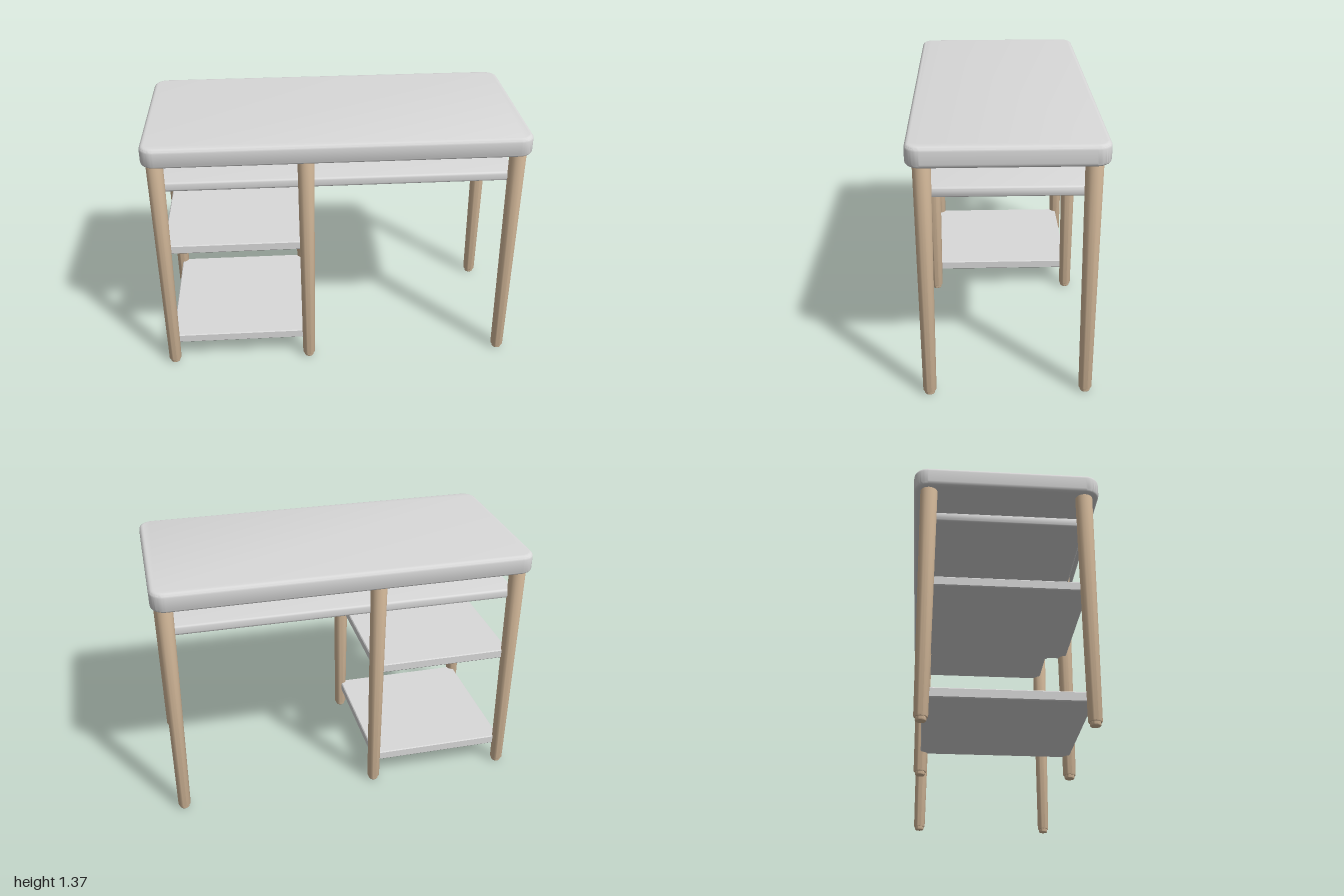
import * as THREE from 'three';
import { toCreasedNormals } from 'three/addons/utils/BufferGeometryUtils.js';

const panel = new THREE.MeshStandardMaterial({ color: 0xd9d9d9 });
panel.name = 'pale grey panel';
const wood = new THREE.MeshStandardMaterial({ color: 0xdcc0a0 });
wood.name = 'light wood';

// Horizontal board with rounded plan corners and bevelled edges
function board(name, x0, x1, depth, y0, y1, corner, bevel, segments, crease) {
  const w = (x1 - x0) / 2 - bevel, d = depth / 2 - bevel, r = corner - bevel;
  const s = new THREE.Shape();
  if (r > 0) {
    s.absarc(w - r, d - r, r, 0, Math.PI / 2);
    s.absarc(-w + r, d - r, r, Math.PI / 2, Math.PI);
    s.absarc(-w + r, -d + r, r, Math.PI, Math.PI * 1.5);
    s.absarc(w - r, -d + r, r, Math.PI * 1.5, Math.PI * 2);
  } else {
    s.moveTo(w, -d).lineTo(w, d).lineTo(-w, d).lineTo(-w, -d);
  }
  s.closePath();
  const g = new THREE.ExtrudeGeometry(s, {
    depth: y1 - y0 - 2 * bevel, bevelEnabled: true, bevelSize: bevel,
    bevelThickness: bevel, bevelSegments: segments, curveSegments: 8,
  });
  g.rotateX(-Math.PI / 2);
  const mesh = new THREE.Mesh(toCreasedNormals(g, crease), panel);
  mesh.position.set((x0 + x1) / 2, y0 + bevel, 0);
  mesh.name = name;
  return mesh;
}

export function createModel() {
  const desk = new THREE.Group();
  desk.name = 'desk';
  const legX = [-0.933, -0.166, 0.933], legZ = 0.4;

  // Thick worktop, tray below it, and two shelves between the left-hand legs
  desk.add(
    board('worktop', -1, 1, 0.956, 1.262, 1.368, 0.075, 0.022, 4, 0.7),
    board('underTray', legX[0], legX[2], 2 * legZ, 1.092, 1.143, 0.02, 0.014, 4, 0.7),
    board('upperShelf', legX[0], legX[1], 2 * legZ, 0.715, 0.765, 0, 0.005, 1, 0.5),
    board('lowerShelf', legX[0], legX[1], 2 * legZ, 0.121, 0.172, 0, 0.005, 1, 0.5),
  );

  // Tapered leg with a small stepped foot, turned as one profile
  const profile = [
    [0, 0], [0.024, 0], [0.026, 0.003], [0.026, 0.018], [0.031, 0.018],
    [0.034, 0.023], [0.044, 1.265], [0, 1.265],
  ].map(([r, y]) => new THREE.Vector2(r, y));
  const legGeometry = toCreasedNormals(new THREE.LatheGeometry(profile, 24), 0.6);
  for (const x of legX) {
    for (const z of [legZ, -legZ]) {
      const leg = new THREE.Mesh(legGeometry, wood);
      leg.position.set(x, 0, z);
      leg.name = z > 0 ? 'frontLeg' : 'backLeg';
      desk.add(leg);
    }
  }
  return desk;
}
